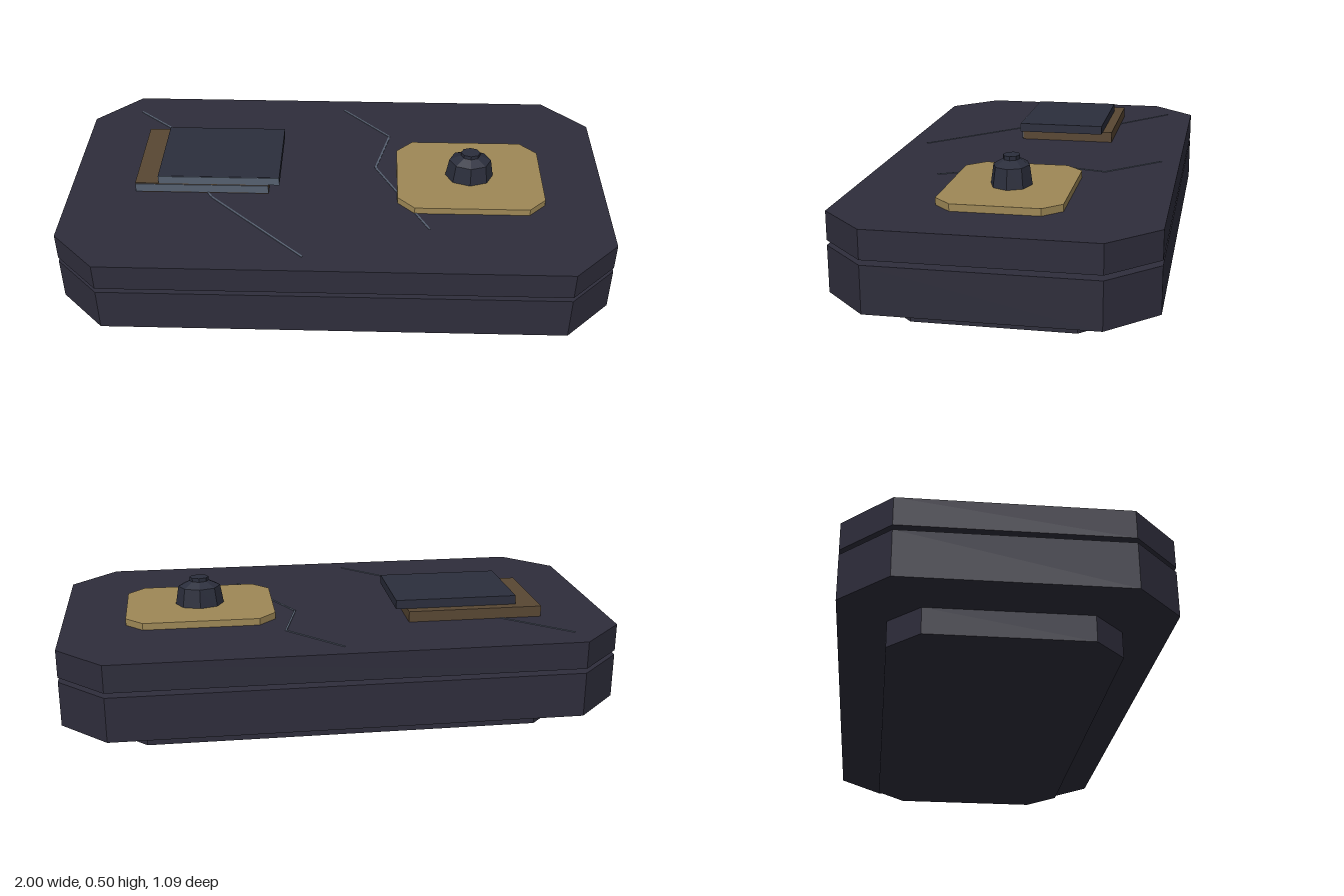
import * as THREE from 'three';

const mat = (name, color) => {
  const m = new THREE.MeshStandardMaterial({ color, flatShading: true });
  m.name = name;
  return m;
};

export function createModel() {
  const model = new THREE.Group();
  model.name = 'steppedSlab';
  const stone = mat('dark stone', 0x2e2d3b);
  const iron = mat('dark iron', 0x2b2e3c);
  const amber = mat('amber', 0xcf8c1c);
  const brass = mat('brass', 0x9e8856);
  const leather = mat('brown leather', 0x584733);
  const steel = mat('steel grey', 0x566070);

  const add = (name, geometry, material, x = 0, y = 0, z = 0) => {
    const mesh = new THREE.Mesh(geometry, material);
    mesh.name = name;
    mesh.position.set(x, y, z);
    model.add(mesh);
    return mesh;
  };

  // Slab with cut corners: half width, half depth, corner cut, bottom, top
  const slab = (name, w, d, c, y0, y1, material, x = 0) => {
    const outline = [[w - c, -d], [w, c - d], [w, d - c], [w - c, d],
      [c - w, d], [-w, d - c], [-w, c - d], [c - w, -d]];
    const shape = new THREE.Shape(outline.map(([px, py]) => new THREE.Vector2(px, py)));
    const geometry = new THREE.ExtrudeGeometry(shape, { depth: y1 - y0, bevelEnabled: false });
    geometry.rotateX(-Math.PI / 2);
    return add(name, geometry, material, x, y0, 0);
  };

  // Stacked body
  slab('foot', 0.815, 0.385, 0.107, 0, 0.093, stone);
  slab('lowerSlab', 1, 0.545, 0.165, 0.093, 0.256, stone);
  slab('amberSeam', 0.94, 0.487, 0.13, 0.256, 0.273, amber);
  slab('upperSlab', 1, 0.545, 0.165, 0.273, 0.373, stone);
  slab('brassPlate', 0.272, 0.213, 0.062, 0.373, 0.398, brass, 0.498);

  // Faceted oval knob with shoulder and cap
  const profile = [[0.09, 0], [0.078, 0.07], [0.036, 0.09], [0.036, 0.104], [0, 0.104]];
  const knob = add('knob', new THREE.LatheGeometry(
    profile.map(([r, y]) => new THREE.Vector2(r, y)), 8), iron, 0.498, 0.397, 0);
  knob.scale.z = 0.81;

  // Book-like pair of plates with steel front edges
  const box = (name, x0, x1, y0, y1, z0, z1, material) => add(name,
    new THREE.BoxGeometry(x1 - x0, y1 - y0, z1 - z0), material,
    (x0 + x1) / 2, (y0 + y1) / 2, (z0 + z1) / 2);
  box('lowerPlate', -0.752, -0.255, 0.373, 0.413, -0.255, 0.107, leather);
  box('lowerPlateEdge', -0.752, -0.255, 0.377, 0.409, 0.107, 0.11, steel);
  box('upperPlate', -0.664, -0.213, 0.413, 0.446, -0.219, 0.107, iron);
  box('upperPlateEdge', -0.664, -0.213, 0.414, 0.445, 0.107, 0.11, steel);

  // Thin cracks across the top
  const cracks = [
    [[-0.82, -0.44], [-0.56, -0.22], [-0.48, 0.11], [-0.465, 0.135], [-0.11, 0.47]],
    [[0.015, -0.475], [0.2, -0.285], [0.145, -0.07], [0.28, 0.19], [0.34, 0.305]],
  ];
  for (const path of cracks) {
    for (let i = 1; i < path.length; i++) {
      const [ax, az] = path[i - 1], [bx, bz] = path[i];
      const strip = add('crack', new THREE.BoxGeometry(Math.hypot(bx - ax, bz - az), 0.003, 0.007),
        steel, (ax + bx) / 2, 0.3735, (az + bz) / 2);
      strip.rotation.y = -Math.atan2(bz - az, bx - ax);
    }
  }
  return model;
}
